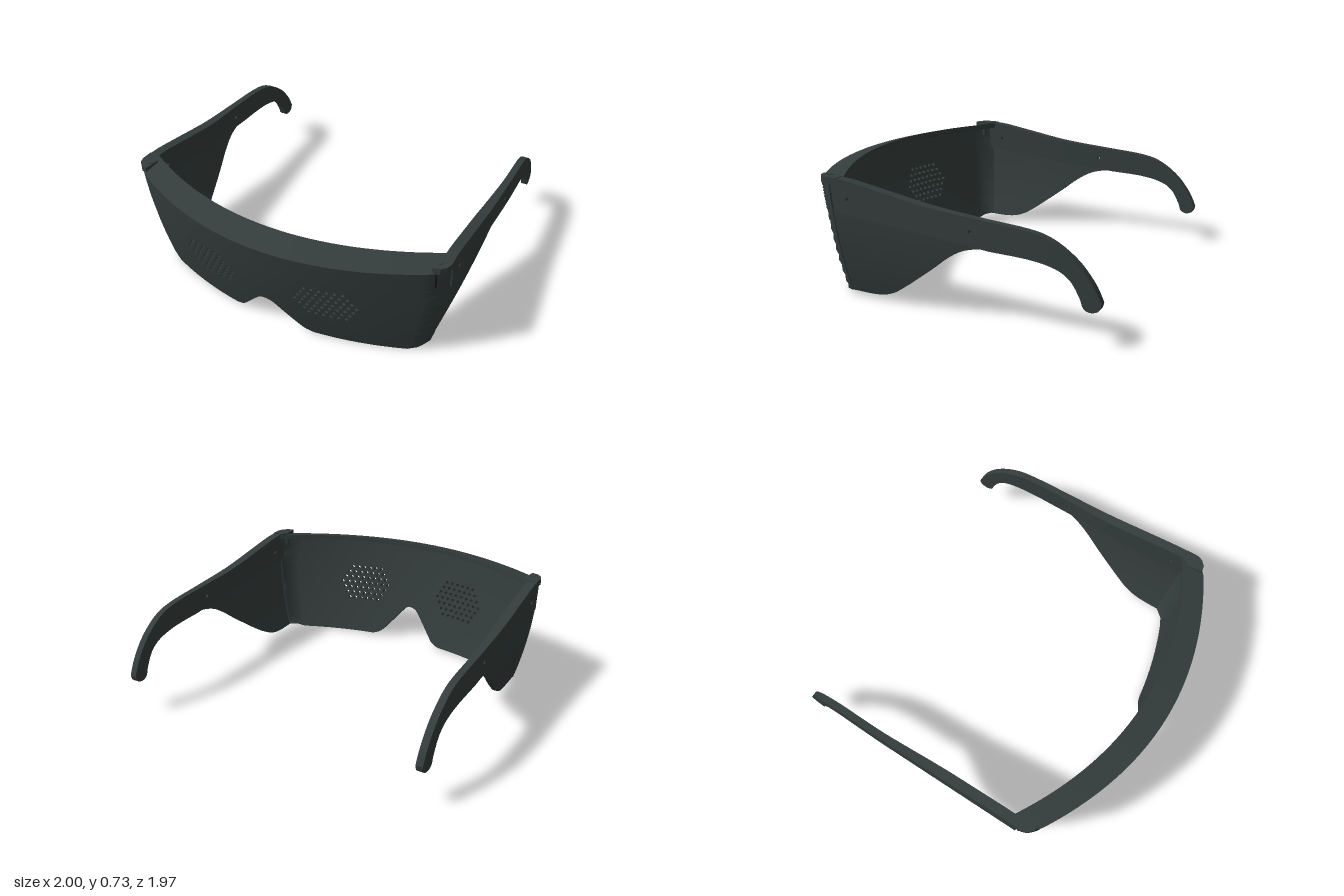
import * as THREE from 'three';
import { toCreasedNormals } from 'three/addons/utils/BufferGeometryUtils.js';

const plastic = new THREE.MeshStandardMaterial({ color: 0x343d3c });
plastic.name = 'charcoal plastic';
const groove = new THREE.MeshStandardMaterial({ color: 0x141818 });
groove.name = 'dark groove';

const { smoothstep, clamp } = THREE.MathUtils;
const V2 = (p) => new THREE.Vector2(p[0], p[1]);

// Splits long triangles, moves every point by a rule, and carries the normals along.
function warp(geometry, rule, limit = 0.09, flip = false) {
  const flat = geometry.index ? geometry.toNonIndexed() : geometry;
  const { position, normal } = flat.attributes;
  const points = [], normals = [];
  const moved = (p) => new THREE.Vector3(...rule(p.x, p.y, p.z));
  const slope = (p, t) => moved(p.clone().addScaledVector(t, 1e-3)).sub(moved(p.clone().addScaledVector(t, -1e-3)));
  const split = (a, b, c, t1, t2) => {
    const ab = a.distanceTo(b), bc = b.distanceTo(c), ca = c.distanceTo(a);
    const m = Math.max(ab, bc, ca);
    if (m > limit) {
      if (m === bc) [a, b, c] = [b, c, a];
      else if (m === ca) [a, b, c] = [c, a, b];
      const mid = a.clone().add(b).multiplyScalar(0.5);
      split(a, mid, c, t1, t2);
      split(mid, b, c, t1, t2);
      return;
    }
    for (const p of flip ? [a, c, b] : [a, b, c]) {
      points.push(...moved(p).toArray());
      const n = slope(p, t1).cross(slope(p, t2)).normalize().multiplyScalar(flip ? -1 : 1);
      normals.push(...n.toArray());
    }
  };
  for (let i = 0; i < position.count; i += 3) {
    const n = new THREE.Vector3().fromBufferAttribute(normal, i);
    if (n.lengthSq() < 0.5) continue;
    const axis = Math.abs(n.z) > 0.5 ? new THREE.Vector3(1, 0, 0) : new THREE.Vector3(0, 0, 1);
    const t2 = n.clone().cross(axis).normalize();
    const t1 = t2.clone().cross(n);
    split(...[0, 1, 2].map((k) => new THREE.Vector3().fromBufferAttribute(position, i + k)), t1, t2);
  }
  const g = new THREE.BufferGeometry();
  g.setAttribute('position', new THREE.Float32BufferAttribute(points, 3));
  g.setAttribute('normal', new THREE.Float32BufferAttribute(normals, 3));
  return g;
}

function add(group, name, geometry, material = plastic) {
  const mesh = new THREE.Mesh(geometry, material);
  mesh.name = name;
  group.add(mesh);
  return mesh;
}

function roundHole(x, y, r, n = 8) {
  const pts = [];
  for (let i = 0; i < n; i++) {
    const a = (-i / n) * Math.PI * 2;
    pts.push(new THREE.Vector2(x + r * Math.cos(a), y + r * Math.sin(a)));
  }
  return new THREE.Path(pts);
}

// Half width of the visor at a height, and the curved surface it follows.
const halfWidth = (y) => 0.995 - 0.095 * ((0.69 - y) / 0.66) ** 2;
const visorZ = (x, y) => {
  const e = clamp((Math.abs(x) / halfWidth(y) - 0.92) / 0.08, 0, 1);
  const t = y / 0.69;
  return 0.985 - (0.25 + 0.06 * t) * x * x - 0.24 * (0.69 - y) + 0.05 * t * (1 - t) - 0.06 * e * e;
};
// Wraps a flat point onto the visor, with its depth measured along the surface normal
const bend = (x, y, d) => {
  const h = 1e-3;
  const gx = (visorZ(x + h, y) - visorZ(x - h, y)) / (2 * h);
  const gy = (visorZ(x, y + h) - visorZ(x, y - h)) / (2 * h);
  const k = d / Math.hypot(gx, gy, 1);
  return [x - gx * k, y - 0.5 * gy * k, visorZ(x, y) + k];
};

function makeVisor() {
  // Outline of one half from the nose outwards, then mirrored
  const half = new THREE.SplineCurve(
    [[0, 0.235], [0.03, 0.228], [0.065, 0.2], [0.19, 0.05], [0.225, 0.02], [0.27, 0.004]].map(V2)
  ).getPoints(20);
  half.push(V2([0.8, 0]), V2([0.87, 0.02]));
  for (let i = 0; i <= 10; i++) {
    const y = 0.03 + 0.066 * i;
    half.push(V2([halfWidth(y), y]));
  }
  const mirrored = half.slice(1).reverse().map((p) => V2([-p.x, p.y]));
  const shape = new THREE.Shape([...half, ...mirrored]);
  // Hexagonal fields of peep holes
  const s = 0.0433;
  for (const side of [-1, 1]) {
    for (let row = -3; row <= 3; row++) {
      const n = 9 - Math.abs(row);
      for (let i = 0; i < n; i++) {
        shape.holes.push(roundHole(side * 0.38 + (i - (n - 1) / 2) * s, 0.355 + row * 0.0375, 0.0125));
      }
    }
  }
  const g = new THREE.ExtrudeGeometry(shape, { depth: 0.045, bevelEnabled: false });
  g.translate(0, 0, -0.045);
  return warp(g, bend);
}

// Sloping brow band lofted across the top of the visor
function makeBrow() {
  const N = 48, pos = [], idx = [];
  for (let i = 0; i <= N; i++) {
    const x = -0.955 + (1.91 * i) / N;
    const zo = visorZ(x, 0.69) + 0.001;
    const zi = 0.83 - 0.31 * x * x;
    const top = 0.73 - 0.016 * x * x;
    pos.push(x, 0.69, zo, x, top, zi, x, top - 0.03, zi, x, 0.66, zo - 0.03);
  }
  for (let i = 0; i < N; i++) {
    for (let k = 0; k < 4; k++) {
      const a = i * 4 + k, b = i * 4 + ((k + 1) % 4);
      idx.push(a, a + 4, b, b, a + 4, b + 4);
    }
  }
  const e = N * 4;
  idx.push(0, 1, 2, 0, 2, 3, e, e + 2, e + 1, e, e + 3, e + 2);
  const g = new THREE.BufferGeometry();
  g.setAttribute('position', new THREE.Float32BufferAttribute(pos, 3));
  g.setIndex(idx);
  return toCreasedNormals(g, 0.5);
}

// Temple arm with ear hook, drawn in (z, y)
function makeArm(side) {
  const top = new THREE.SplineCurve([[0.61, 0.718], [0.5, 0.713], [0.3, 0.68], [0, 0.63], [-0.3, 0.602],
    [-0.58, 0.578], [-0.72, 0.54], [-0.85, 0.45], [-0.94, 0.34], [-0.985, 0.25]].map(V2)).getPoints(45);
  const tip = new THREE.SplineCurve([[-0.985, 0.25], [-0.972, 0.213], [-0.93, 0.198], [-0.892, 0.215],
    [-0.87, 0.27], [-0.82, 0.35], [-0.74, 0.4], [-0.6, 0.428], [-0.38, 0.438]].map(V2)).getPoints(36);
  const shape = new THREE.Shape([...top, ...tip.slice(1), V2([0.59, 0.53])]);
  shape.holes.push(roundHole(0.495, 0.605, 0.012, 12), roundHole(-0.27, 0.525, 0.012, 12));
  const g = new THREE.ExtrudeGeometry(shape, { depth: 0.05, bevelEnabled: false });
  return warp(g, (z, y, d) => {
    const outer = 0.997 - 0.02 * clamp((-z - 0.3) / 0.7, 0, 1) ** 2;
    const thick = 0.041 + 0.018 * smoothstep(z, -0.45, 0.15);
    return [side * (outer - (1 - d / 0.05) * thick), y, z];
  }, 0.1, side > 0);
}

// Side shield under the arm, leaning inwards and thinning toward the back
function makeSideShield(side) {
  const edge = new THREE.SplineCurve([[-0.4, 0.437], [-0.3, 0.432], [-0.2, 0.403], [-0.1, 0.34], [0, 0.26],
    [0.2, 0.11], [0.3, 0.052], [0.4, 0.03], [0.54, 0.03]].map(V2)).getPoints(40);
  const shape = new THREE.Shape([...edge, V2([0.57, 0.03]), V2([0.585, 0.25]), V2([0.605, 0.545]), V2([-0.36, 0.455])]);
  const g = new THREE.ExtrudeGeometry(shape, { depth: 1, bevelEnabled: false });
  g.scale(1, 1, 0.03);
  return warp(g, (z, y, d) => {
    const thin = 0.15 + 0.85 * smoothstep(z, -0.4, 0.1);
    return [side * (halfWidth(y) - 0.004 - (0.03 - d) * thin), y, z];
  }, 0.09, side > 0);
}

// Corner cap over the hinge, drawn in plan
function makeHingeCap(side) {
  const pts = [[0.905, 0.61], [0.938, 0.57], [0.998, 0.56], [1, 0.635], [0.988, 0.668], [0.96, 0.696], [0.92, 0.706]];
  const g = new THREE.ExtrudeGeometry(new THREE.Shape(pts.map(V2)), { depth: 0.04, bevelEnabled: false });
  return warp(g, (x, z, d) => [side * x, 0.682 + d, z], 1, side > 0);
}

export function createModel() {
  const model = new THREE.Group();
  model.name = 'safetyGlasses';
  add(model, 'visor', makeVisor());
  add(model, 'browBand', makeBrow());
  for (const side of [-1, 1]) {
    const label = side > 0 ? 'left' : 'right';
    add(model, label + 'Arm', makeArm(side));
    add(model, label + 'SideShield', makeSideShield(side));
    add(model, label + 'HingeCap', makeHingeCap(side));
    const pin = add(model, label + 'HingePin', new THREE.CylinderGeometry(0.02, 0.02, 0.1, 20));
    pin.position.set(side * 0.935, 0.675, 0.645);
    // Fine vertical seam at the visor corner
    const seam = new THREE.PlaneGeometry(0.006, 0.1).translate(side * 0.942, 0.63, 0.003);
    add(model, label + 'CornerSeam', warp(seam, bend), groove);
  }
  return model;
}
